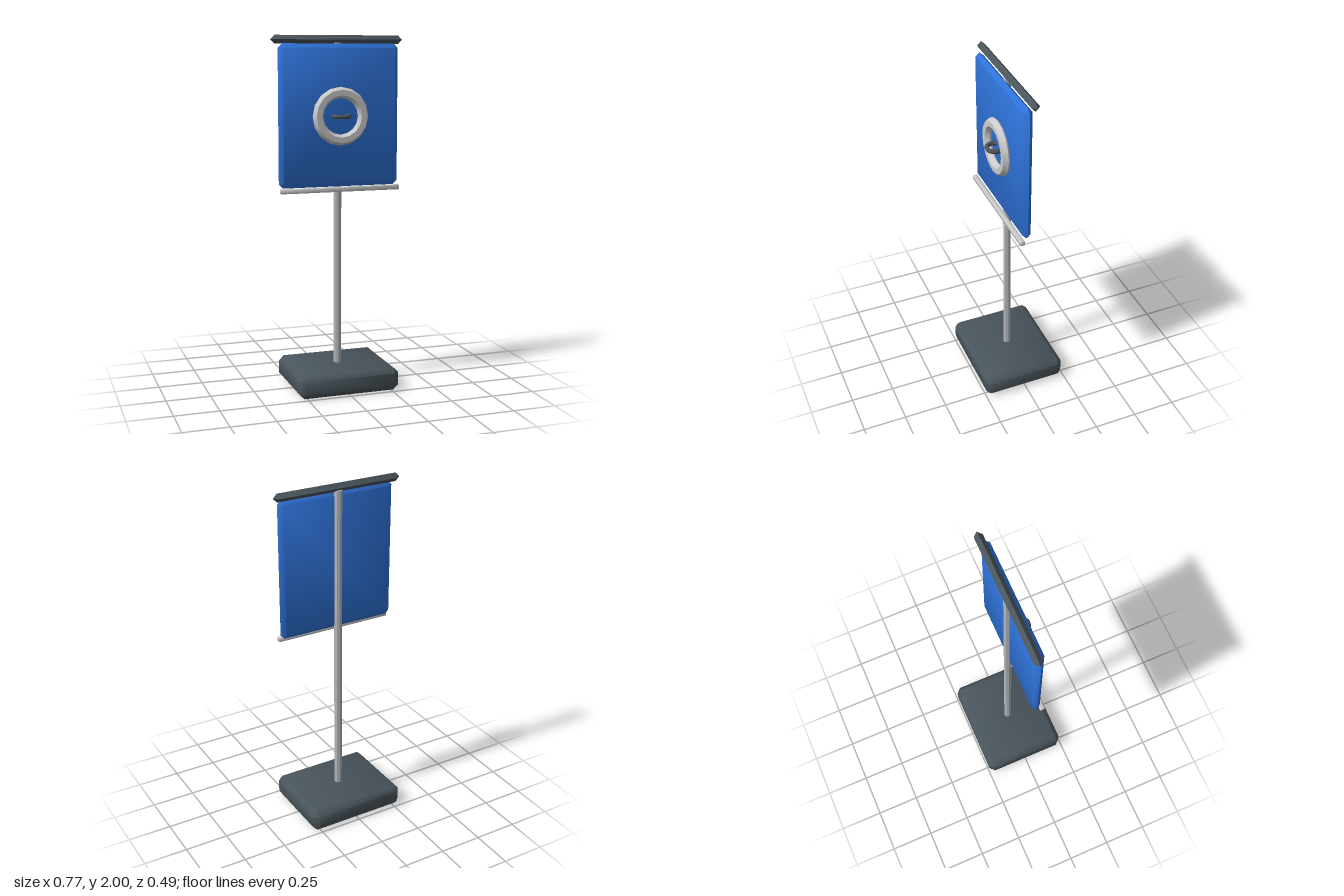
import * as THREE from 'three';
import { ConvexGeometry } from 'three/addons/geometries/ConvexGeometry.js';
import { toCreasedNormals } from 'three/addons/utils/BufferGeometryUtils.js';

const CREASE = Math.PI / 3.5;
const paint = (color) => new THREE.MeshStandardMaterial({ color });

// Box with a single 45 degree chamfer c on every edge and corner
function chamferBox(w, h, d, c) {
  const half = [w / 2, h / 2, d / 2];
  const points = new Map();
  for (let axis = 0; axis < 3; axis++)
    for (const sx of [-1, 1])
      for (const sy of [-1, 1])
        for (const sz of [-1, 1]) {
          const p = [sx, sy, sz].map((s, i) => s * (i === axis ? half[i] : Math.max(half[i] - c, 0)));
          points.set(p.map((v) => Math.round(v * 1e4)).join(), new THREE.Vector3(...p));
        }
  return toCreasedNormals(new ConvexGeometry([...points.values()]), CREASE);
}

export function createModel() {
  const model = new THREE.Group();
  model.name = 'signStand';
  const dark = paint(0x4a555c);
  const blue = paint(0x2f74dc);
  const steel = paint(0xb4b8bb);
  const light = paint(0xdcdcdc);

  const add = (name, geometry, material, x, y, z) => {
    const mesh = new THREE.Mesh(geometry, material);
    mesh.name = name;
    mesh.position.set(x, y, z);
    model.add(mesh);
    return mesh;
  };

  // Heavy foot and the eight-sided pole
  add('base', chamferBox(0.586, 0.13, 0.486, 0.028), dark, 0, 0.065, 0);
  add('pole', toCreasedNormals(new THREE.CylinderGeometry(0.023, 0.023, 1.86, 8), CREASE / 2), steel, 0, 1.03, 0);

  // Sign panel in front of the pole, with its top bar and lower rail
  add('panel', chamferBox(0.7, 0.795, 0.048, 0.024), blue, 0, 1.557, 0.024);
  add('topBar', chamferBox(0.77, 0.048, 0.048, 0.024), dark, 0, 1.976, 0);
  add('lowerRail', chamferBox(0.7, 0.027, 0.027, 0.003), light, 0, 1.147, 0.056);

  // Ring on the panel and the small horizontal loop inside it
  add('ring', toCreasedNormals(new THREE.TorusGeometry(0.132, 0.031, 6, 16), CREASE), light, 0, 1.555, 0.057);
  const loop = add('loop', toCreasedNormals(new THREE.TorusGeometry(0.044, 0.013, 6, 14), CREASE), dark, 0, 1.555, 0.071);
  loop.rotation.x = Math.PI / 2;

  return model;
}
